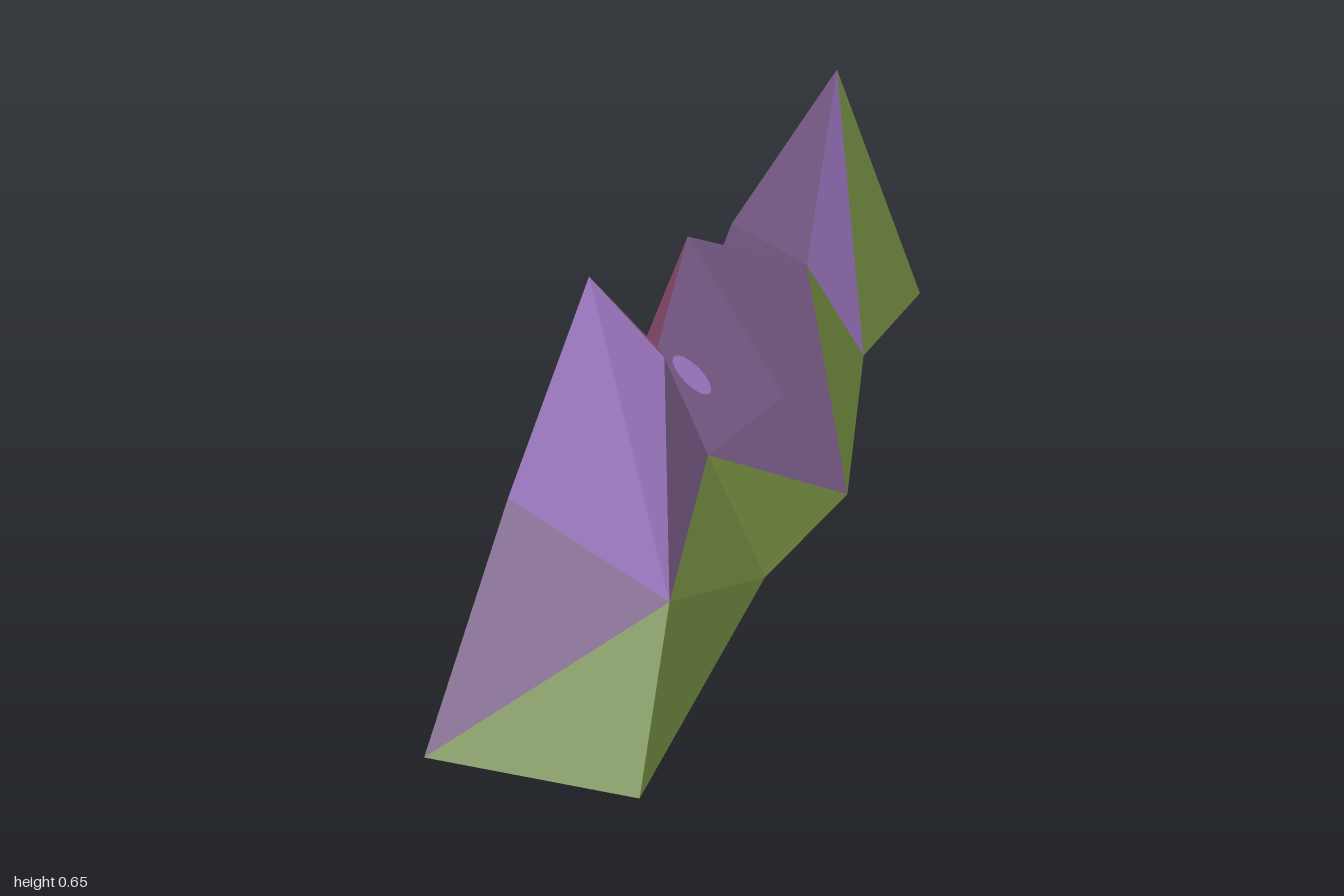
import * as THREE from 'three';

const flat = (name, color) => {
  const m = new THREE.MeshStandardMaterial({ color, side: THREE.DoubleSide, flatShading: true });
  m.name = name;
  return m;
};

// Survey points: b = foot of the slope, the rest are peaks, saddles and spurs
const P = {
  b0: [0.01, 0, -1], b1: [0.195, 0, -0.845], b2: [0.145, 0, -0.52], b3: [0.247, 0, 0.035],
  b4: [0.175, 0, 0.35], b5: [0.157, 0, 1], b6: [-0.2, 0, 1], b7: [-0.18, 0, 0.47],
  b8: [-0.25, 0, 0.04], b9: [-0.21, 0, -0.31], b10: [-0.25, 0, -0.845],
  front: [-0.063, 0.655, 0.56], shoulder: [0.045, 0.5, 0.51],
  spurR: [0.147, 0.236, 0.81], spurL: [-0.154, 0.32, 0.72],
  saddle: [-0.05, 0.38, 0.26], ledge: [0.085, 0.262, 0.4],
  middle: [-0.053, 0.51, 0.07], rib: [0.13, 0.21, 0.07],
  hollow: [-0.085, 0.157, -0.21], pass: [0.08, 0.312, -0.28],
  knee: [-0.12, 0.305, -0.44], back: [0.042, 0.58, -0.65],
};

// Faces of each terrain zone
const ZONES = {
  grassSlopes: [
    'b6 b5 spurR', 'spurR b5 b4', 'spurR b4 ledge', 'ledge b4 b3', 'pass b3 b2',
    'back b2 b1', 'back b1 b0', 'back b0 b10', 'back b10 knee', 'knee b10 b9',
    'hollow b9 b8', 'saddle b8 b7', 'spurL b7 b6',
  ],
  mauveRock: [
    'spurL b6 spurR', 'spurL front b7', 'front saddle b7', 'shoulder spurR ledge',
    'shoulder ledge saddle', 'saddle ledge rib', 'saddle rib middle', 'middle rib pass',
    'rib b3 pass', 'rib ledge b3', 'back knee pass', 'pass knee b9', 'pass b9 hollow',
  ],
  violetRock: ['front spurL spurR', 'front spurR shoulder', 'back pass b2'],
  pinkRock: ['front shoulder saddle', 'saddle middle b8', 'middle hollow b8', 'middle pass hollow'],
};

// Every terrain face looks upwards, so corners are ordered to give +y normals
function surface(tris, material, name) {
  const pos = [];
  for (const [a, b, c] of tris) {
    const ny = (b[2] - a[2]) * (c[0] - a[0]) - (b[0] - a[0]) * (c[2] - a[2]);
    pos.push(...a, ...(ny > 0 ? [...b, ...c] : [...c, ...b]));
  }
  const g = new THREE.BufferGeometry();
  g.setAttribute('position', new THREE.Float32BufferAttribute(pos, 3));
  g.computeVertexNormals();
  const mesh = new THREE.Mesh(g, material);
  mesh.name = name;
  return mesh;
}

const corners = (face) => face.split(' ').map((k) => P[k]);

// Thin patch: plan outline (x, z) lifted just above the plane of a face
function patch(face, outline, material, name) {
  const [a, b, c] = corners(face).map((p) => new THREE.Vector3(...p));
  const plane = new THREE.Plane().setFromCoplanarPoints(a, b, c);
  if (plane.normal.y < 0) plane.negate();
  const n = plane.normal;
  const pts = outline.map(([x, z]) => {
    const y = -(plane.constant + n.x * x + n.z * z) / n.y;
    return new THREE.Vector3(x, y, z).addScaledVector(n, 0.003).toArray();
  });
  const tris = [];
  for (let i = 1; i < pts.length - 1; i++) tris.push([pts[0], pts[i], pts[i + 1]]);
  return surface(tris, material, name);
}

export function createModel() {
  const mats = {
    grassSlopes: flat('grass green', 0x6c843d),
    mauveRock: flat('mauve', 0x735680),
    violetRock: flat('violet', 0x9671b9),
    pinkRock: flat('dusky pink', 0x9b557a),
  };
  const range = new THREE.Group();
  range.name = 'mountainRange';

  // Open shell of slopes
  for (const [name, faces] of Object.entries(ZONES)) {
    range.add(surface(faces.map(corners), mats[name], name));
  }

  // Mauve stain on the pink slope
  const stain = [[-0.249, 0.039], [-0.138, 0.034], [-0.107, 0.033], [-0.085, -0.023], [-0.078, -0.086], [-0.086, -0.207]];
  range.add(patch('middle hollow b8', stain, mats.mauveRock, 'mauveStain'));

  // Round violet spot beside the saddle
  const spot = Array.from({ length: 16 }, (_, i) => {
    const t = (i / 16) * Math.PI * 2;
    return [0.008 + 0.034 * Math.cos(t), 0.25 + 0.034 * Math.sin(t)];
  });
  range.add(patch('saddle ledge rib', spot, mats.violetRock, 'violetSpot'));

  return range;
}
